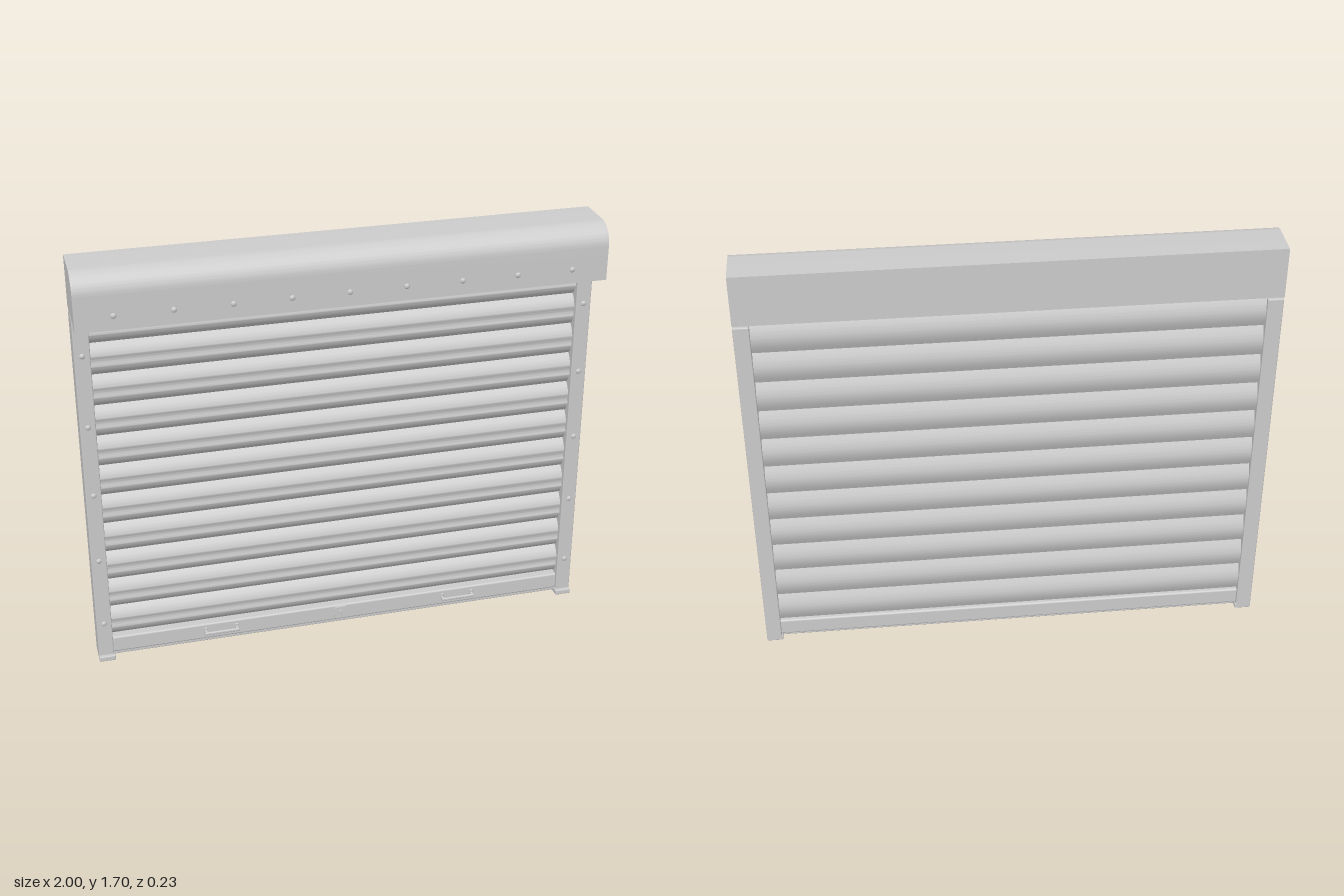
import * as THREE from 'three';
import { toCreasedNormals } from 'three/addons/utils/BufferGeometryUtils.js';
import { RoundedBoxGeometry } from 'three/addons/geometries/RoundedBoxGeometry.js';

const mat = new THREE.MeshStandardMaterial({ color: 0xcccccc, side: THREE.DoubleSide });

function add(parent, name, geometry, x = 0, y = 0, z = 0) {
  const mesh = new THREE.Mesh(geometry, mat);
  mesh.name = name;
  mesh.position.set(x, y, z);
  parent.add(mesh);
  return mesh;
}

// Box given by its limits, with slightly rounded edges
function box(parent, name, x0, x1, y0, y1, z0, z1, r = 0.004) {
  return add(parent, name, new RoundedBoxGeometry(x1 - x0, y1 - y0, z1 - z0, 2, r),
    (x0 + x1) / 2, (y0 + y1) / 2, (z0 + z1) / 2);
}

// Extrudes a (z, y) outline along x, centred on x = 0
function extrudeX(shape, width) {
  const g = new THREE.ExtrudeGeometry(shape, { depth: width, bevelEnabled: false, curveSegments: 12 });
  g.translate(0, 0, -width / 2);
  g.rotateY(-Math.PI / 2);
  g.scale(-1, 1, 1);
  // the mirror turns the faces inside out, so swap two corners of each
  const p = g.attributes.position.array;
  for (let i = 0; i < p.length; i += 9) {
    for (let k = 0; k < 3; k++) [p[i + 3 + k], p[i + 6 + k]] = [p[i + 6 + k], p[i + 3 + k]];
  }
  return toCreasedNormals(g, 0.6);
}

// Outline of the hood in (z, y), inset by t
function hoodPath(t, Type) {
  const r = 0.08 - t, front = 0.112 - t, back = -0.11 + t, top = 1.695 - t;
  const s = new Type();
  s.moveTo(back, 1.495);
  s.lineTo(back, top);
  s.lineTo(front - r, top);
  s.absarc(front - r, top - r, r, Math.PI / 2, 0, true);
  s.lineTo(front, 1.48 + t);
  return s;
}

function hoodSheet() {
  const outer = hoodPath(0, THREE.Shape);
  outer.lineTo(0.112, 1.48);
  outer.lineTo(0.072, 1.48);
  outer.lineTo(0.072, 1.496);
  outer.lineTo(0.078, 1.496);
  outer.lineTo(0.078, 1.486);
  const inner = hoodPath(0.006, THREE.Shape).getPoints(12).reverse();
  inner.forEach((p) => outer.lineTo(p.x, p.y));
  return outer;
}

function hoodEnd() {
  const s = hoodPath(0, THREE.Shape);
  s.lineTo(0.072, 1.48);
  s.lineTo(0.072, 1.495);
  return s;
}

const PITCH = 0.127;

// Slat: bulged front with a shallow groove, softly bulged back
function slatShape() {
  const front = [], back = [], n = 24;
  for (let i = 0; i <= n; i++) {
    const v = i / n;
    const bulge = Math.pow(Math.sin(Math.PI * v), 0.7);
    const groove = 0.007 * Math.exp(-Math.pow((v - 0.48) / 0.11, 4));
    front.push(new THREE.Vector2(-0.06 + 0.032 * bulge - groove, v * PITCH));
    back.push(new THREE.Vector2(-0.082 - 0.018 * Math.sin(Math.PI * v), v * PITCH));
  }
  return new THREE.Shape([...front, ...back.reverse()]);
}

function rivet(parent, x, y, z) {
  const g = new THREE.SphereGeometry(0.011, 14, 6, 0, Math.PI * 2, 0, Math.PI / 2);
  g.scale(1, 0.6, 1);
  g.rotateX(Math.PI / 2);
  add(parent, 'rivet', g, x, y, z);
}

export function createModel() {
  const model = new THREE.Group();
  model.name = 'rollerShutter';

  // Hood covering the roll
  const hood = new THREE.Group();
  hood.name = 'hood';
  model.add(hood);
  add(hood, 'hoodSheet', extrudeX(hoodSheet(), 1.988));
  const endGeometry = extrudeX(hoodEnd(), 0.008);
  for (const side of [-1, 1]) add(hood, 'hoodEnd', endGeometry, side * 0.996);
  for (let i = -4; i <= 4; i++) rivet(hood, i * 0.215, 1.535, 0.111);

  // Curtain of slats
  const curtain = new THREE.Group();
  curtain.name = 'curtain';
  model.add(curtain);
  const slat = extrudeX(slatShape(), 1.9);
  for (let i = 0; i < 12; i++) add(curtain, 'slat', slat, 0, 0.094 + i * PITCH);

  // Bottom bar with its seal
  box(model, 'bottomBar', -0.95, 0.95, 0.02, 0.09, -0.095, -0.028, 0.008);
  box(model, 'bottomSeal', -0.94, 0.94, 0.006, 0.024, -0.085, -0.035);

  // Side rails with feet and rivets
  for (const side of [-1, 1]) {
    const rail = new THREE.Group();
    rail.name = side > 0 ? 'leftRail' : 'rightRail';
    model.add(rail);
    const cx = side * 0.97;
    box(rail, 'railChannel', cx - 0.03, cx + 0.03, 0.003, 1.487, -0.11, -0.015);
    box(rail, 'railFoot', cx - 0.03 - (side > 0 ? 0.005 : 0), cx + 0.03 + (side < 0 ? 0.005 : 0),
      0, 0.022, -0.11, 0);
    for (let i = 0; i < 5; i++) rivet(rail, cx, 0.17 + i * 0.291, -0.015);
  }

  // Lifting handles
  for (const side of [-1, 1]) {
    const handle = new THREE.Group();
    handle.name = side > 0 ? 'leftHandle' : 'rightHandle';
    handle.position.set(side * 0.5, 0.058, 0);
    model.add(handle);
    box(handle, 'handleGrip', -0.07, 0.07, -0.006, 0.006, -0.011, -0.001);
    for (const end of [-1, 1]) {
      const x = end * 0.063;
      box(handle, 'handlePost', x - 0.006, x + 0.006, -0.006, 0.006, -0.03, -0.002);
      box(handle, 'handleFlange', x - 0.007, x + 0.007, -0.016, 0.016, -0.03, -0.023, 0.003);
    }
  }

  // Lock
  const lock = new THREE.Group();
  lock.name = 'lock';
  lock.position.set(0, 0.058, -0.028);
  model.add(lock);
  const plate = new THREE.Shape();
  plate.absarc(0.016, 0.014, 0.012, 0, Math.PI / 2);
  plate.absarc(-0.016, 0.014, 0.012, Math.PI / 2, Math.PI);
  plate.absarc(-0.016, -0.014, 0.012, Math.PI, Math.PI * 1.5);
  plate.absarc(0.016, -0.014, 0.012, Math.PI * 1.5, Math.PI * 2);
  add(lock, 'lockPlate', new THREE.ExtrudeGeometry(plate, { depth: 0.008, bevelEnabled: false }));
  const barrel = add(lock, 'lockBarrel', new THREE.CylinderGeometry(0.014, 0.014, 0.014, 20), 0, 0, 0.007);
  barrel.rotation.x = Math.PI / 2;
  box(lock, 'keySlot', -0.002, 0.002, -0.007, 0.007, 0.012, 0.016, 0.001);

  return model;
}
